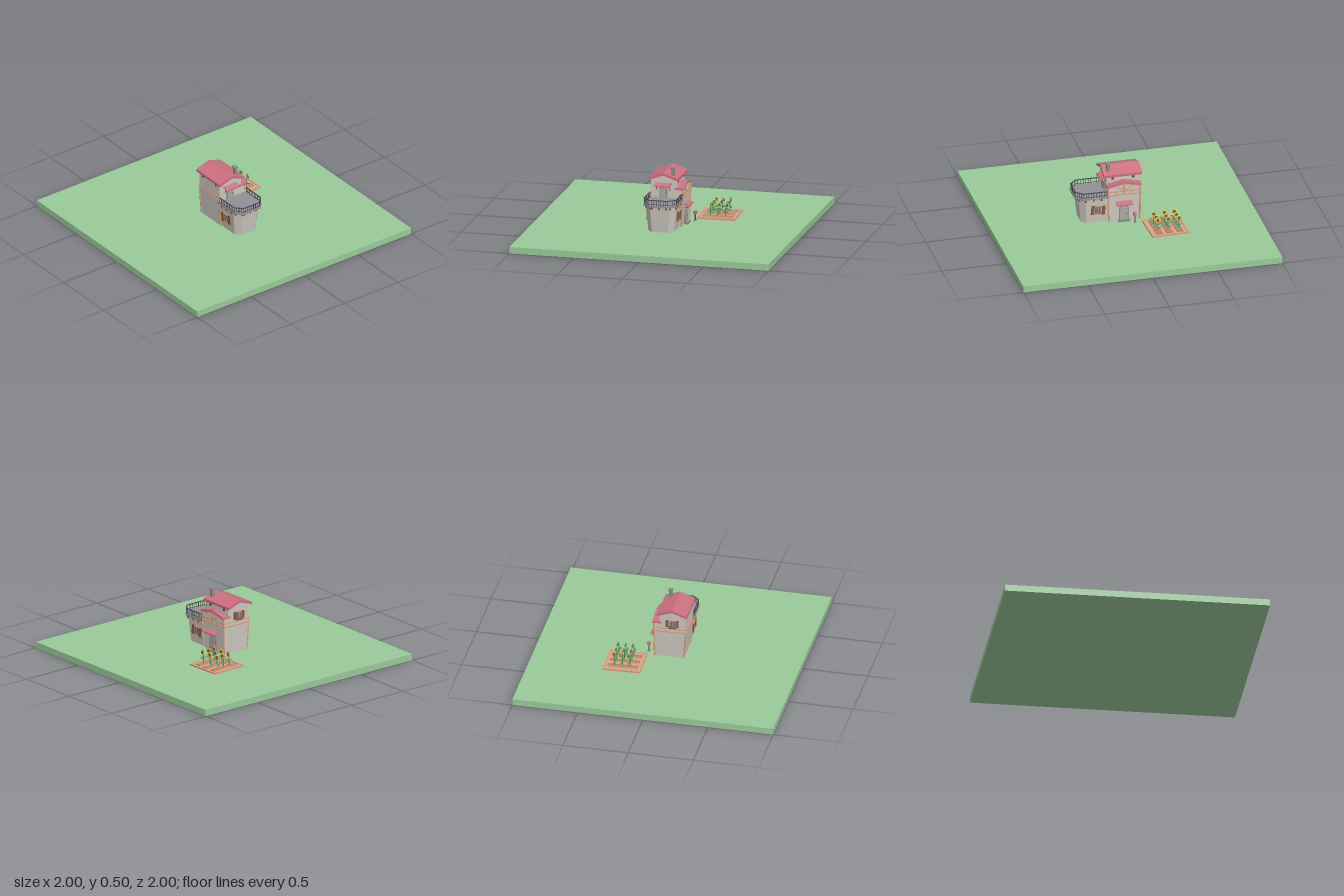
import * as THREE from 'three';
import { ConvexGeometry } from 'three/addons/geometries/ConvexGeometry.js';

const mat = (color) => new THREE.MeshStandardMaterial({ color, flatShading: true, side: THREE.DoubleSide });
const M = {
  grass: mat(0x9aca9a), wall: mat(0xcbc7bf), roof: mat(0xcc7080), deck: mat(0x929097), timber: mat(0xd7a07c),
  brown: mat(0x8b5a3e), stone: mat(0x8a8a88), iron: mat(0x4a4a48), glass: mat(0x77777c), door: mat(0xa9a6a2),
  soil: mat(0xdba78c), ridge: mat(0xb98468), leaf: mat(0x4d9b62), petal: mat(0xe3c150), seed: mat(0x6d5a30),
};
const V = (x, y, z) => new THREE.Vector3(x, y, z);

export function createModel() {
  const model = new THREE.Group();
  const add = (name, geo, m, parent = model) => {
    const mesh = new THREE.Mesh(geo, m);
    mesh.name = name;
    parent.add(mesh);
    return mesh;
  };
  const group = (name, x = 0, y = 0, z = 0, parent = model) => {
    const g = new THREE.Group();
    g.name = name;
    g.position.set(x, y, z);
    parent.add(g);
    return g;
  };
  const box = (name, w, h, d, x, y, z, m, parent) => {
    const mesh = add(name, new THREE.BoxGeometry(w, h, d), m, parent);
    mesh.position.set(x, y, z);
    return mesh;
  };
  // square bar running between two points
  const beam = (name, a, b, w, m, parent) => {
    const mesh = box(name, w, w, a.distanceTo(b), 0, 0, 0, m, parent);
    mesh.position.lerpVectors(a, b, 0.5);
    mesh.lookAt(b);
    return mesh;
  };
  const extrude = (pts, depth) => new THREE.ExtrudeGeometry(
    new THREE.Shape(pts.map(([x, y]) => new THREE.Vector2(x, y))), { depth, bevelEnabled: false },
  ).translate(0, 0, -depth / 2);
  const gableRoof = (half, eave, apex, t, len) => extrude(
    [[-half, eave - t], [-half, eave], [0, apex], [half, eave], [half, eave - t], [0, apex - t]], len);
  const gableWall = (half, base, eave, apex, len) => extrude(
    [[-half, base], [half, base], [half, eave], [0, apex], [-half, eave]], len);

  box('ground', 2, 0.05, 2, 0, 0.025, 0, M.grass);

  // main house: slightly tapered ground floor, gabled upper floor
  const house = group('house');
  const floorPts = [];
  for (const [y, x0, x1, z0, z1] of [[0.05, -0.118, 0.102, -0.125, 0.115], [0.28, -0.132, 0.11, -0.132, 0.12]])
    for (const x of [x0, x1]) for (const z of [z0, z1]) floorPts.push(V(x, y, z));
  add('groundFloor', new ConvexGeometry(floorPts), M.wall, house);
  add('upperFloor', gableWall(0.1, 0.28, 0.412, 0.445, 0.252), M.wall, house).position.set(-0.032, 0, -0.006);
  add('mainRoof', gableRoof(0.113, 0.424, 0.463, 0.02, 0.294), M.roof, house).position.set(-0.032, 0, -0.004);

  // side wing with a cross gable
  const wing = add('wingWall', gableWall(0.122, 0.28, 0.335, 0.362, 0.07), M.wall, house);
  wing.rotation.y = Math.PI / 2;
  wing.position.set(0.075, 0, -0.005);
  const wingRoof = add('wingRoof', gableRoof(0.133, 0.348, 0.376, 0.014, 0.07), M.roof, house);
  wingRoof.rotation.y = Math.PI / 2;
  wingRoof.position.set(0.086, 0, -0.004);

  // timber frame
  const timber = group('timberFrame');
  for (const y of [0.268, 0.297]) {
    beam('sideBeam', V(0.111, y, 0.122), V(0.111, y, -0.134), 0.009, M.timber, timber);
    beam('backBeam', V(-0.134, y, -0.133), V(0.113, y, -0.133), 0.008, M.timber, timber);
    beam('farSideBeam', V(-0.132, y, -0.134), V(-0.132, y, 0.122), 0.008, M.timber, timber);
  }
  for (const z of [-0.129, 0.118]) {
    beam('cornerPost', V(0.103, 0.05, z * 0.97), V(0.111, 0.27, z), 0.01, M.timber, timber);
    beam('upperPost', V(0.111, 0.27, z), V(0.111, 0.338, z), 0.01, M.timber, timber);
    beam('farCornerPost', V(-0.118, 0.05, z * 0.97), V(-0.132, 0.27, z), 0.008, M.timber, timber);
    beam('rafterBeam', V(0.112, 0.332, z), V(0.112, 0.358, -0.005), 0.008, M.timber, timber);
    beam('brace', V(0.111, 0.3, -0.005), V(0.111, 0.34, z * 0.55 - 0.003), 0.007, M.timber, timber);
    beam('stud', V(0.111, 0.27, z * 0.5), V(0.111, 0.3, z * 0.5), 0.007, M.timber, timber);
  }
  beam('kingPost', V(0.111, 0.268, -0.005), V(0.111, 0.358, -0.005), 0.008, M.timber, timber);

  // chimney
  const chimney = group('chimney', 0.032, 0, 0.1);
  box('chimneyStack', 0.024, 0.1, 0.024, 0, 0.444, 0, M.stone, chimney);
  box('chimneyCap', 0.032, 0.01, 0.032, 0, 0.497, 0, M.stone, chimney);

  // front tower with chamfered corners and a terrace
  const outline = (x0, x1, zf, c) => [[x0, 0.11], [x0, zf - c], [x0 + c, zf], [x1 - c, zf], [x1, zf - c], [x1, 0.11]];
  const slab = (name, pts, y, h, m, parent) => {
    const geo = new ConvexGeometry(pts.flatMap(([x, z]) => [V(x, y, z), V(x, y + h, z)]));
    return add(name, geo, m, parent);
  };
  const tower = group('tower');
  const low = outline(-0.11, 0.086, 0.315, 0.035).map(([x, z]) => V(x, 0.05, z));
  const high = outline(-0.131, 0.106, 0.338, 0.045).map(([x, z]) => V(x, 0.255, z));
  add('towerBody', new ConvexGeometry([...low, ...high]), M.wall, tower);
  const edge = outline(-0.141, 0.116, 0.366, 0.052);
  slab('terraceDeck', edge, 0.252, 0.014, M.deck, tower);

  // railing and brackets follow the deck edge
  const railing = group('railing');
  const inset = outline(-0.136, 0.111, 0.36, 0.05);
  inset[0][1] = inset[5][1] = 0.13;
  for (let i = 0; i < 5; i++) {
    const a = V(inset[i][0], 0, inset[i][1]), b = V(inset[i + 1][0], 0, inset[i + 1][1]);
    const n = Math.round(a.distanceTo(b) / 0.019);
    for (const y of [0.274, 0.306])
      beam('rail', a.clone().setY(y), b.clone().setY(y), y > 0.3 ? 0.006 : 0.003, M.iron, railing);
    for (let k = 0; k <= n; k++) {
      const p = a.clone().lerp(b, k / n);
      box('baluster', 0.003, 0.042, 0.003, p.x, 0.286, p.z, M.iron, railing);
      if (k % 3 === 1) box('bracket', 0.012, 0.022, 0.012, p.x * 0.96, 0.243, p.z - (i > 0 && i < 4 ? 0.017 : 0), M.brown, tower);
    }
  }

  // shuttered window, facing +z in its own frame
  const shutterWindow = (name, x, y, z, ry, w, h) => {
    const g = group(name, x, y, z);
    g.rotation.y = ry;
    box('pane', w, h, 0.006, 0, 0, 0, M.glass, g);
    for (const s of [-1, 1]) {
      box('shutter', w * 0.55, h * 1.1, 0.007, s * w * 0.95, 0, 0.004, M.brown, g);
      box('windowSill', w * 1.15, 0.006, 0.012, 0, s * h * 0.54, 0.003, M.timber, g);
    }
    box('mullion', 0.004, h, 0.009, 0, 0, 0, M.timber, g);
    return g;
  };
  for (const s of [-1, 1])
    shutterWindow('towerWindow', s > 0 ? 0.1 : -0.124, 0.155, 0.195, s * Math.PI / 2, 0.044, 0.065).rotation.z = s * -0.1;
  shutterWindow('backWindow', -0.032, 0.342, -0.135, Math.PI, 0.04, 0.052);
  box('windowBox', 0.06, 0.012, 0.018, -0.032, 0.312, -0.142, M.brown);
  for (const z of [-0.083, 0.075]) for (const x of [0.069, -0.133])
    box('smallWindow', 0.006, 0.022, 0.018, x, 0.392, z, M.iron);

  // arched door with sloping awning, facing +z in its own frame
  const archedDoor = (name, x, y, z, ry, w, h) => {
    const g = group(name, x, y, z);
    g.rotation.y = ry;
    const arch = (r, top) => {
      const s = new THREE.Shape();
      s.moveTo(-r, 0).lineTo(r, 0).lineTo(r, top);
      s.absarc(0, top, r, 0, Math.PI);
      return s;
    };
    const side = h - w / 2;
    for (const [part, r, d, m] of [['doorFrame', w / 2 + 0.006, 0.008, M.stone], ['doorLeaf', w / 2, 0.011, M.door]])
      add(part, new THREE.ExtrudeGeometry(arch(r, side), { depth: d, bevelEnabled: false, curveSegments: 8 }), m, g);
    const knob = add('doorKnob', new THREE.SphereGeometry(0.004, 8, 6), M.iron, g);
    knob.position.set(w * 0.33, h * 0.45, 0.013);
    return g;
  };
  const awning = (parent, w, y, out, drop) => {
    const a = add('awning', extrude([[0, y - 0.012], [0, y], [out, y - drop], [out, y - drop - 0.01]], w), M.roof, parent);
    a.rotation.y = -Math.PI / 2;
    for (const s of [-1, 1])
      beam('awningStrut', V(s * w * 0.42, y - 0.045, 0), V(s * w * 0.42, y - drop - 0.009, out * 0.8), 0.005, M.brown, parent);
  };
  const sideDoor = archedDoor('sideDoor', 0.102, 0.05, -0.003, Math.PI / 2, 0.064, 0.125);
  awning(sideDoor, 0.122, 0.166, 0.048, 0.016);
  box('doorStep', 0.09, 0.012, 0.04, 0, 0.006, 0.012, M.stone, sideDoor);
  const terraceDoor = archedDoor('terraceDoor', -0.035, 0.266, 0.116, 0, 0.05, 0.085);
  awning(terraceDoor, 0.12, 0.118, 0.044, 0.018);

  // mailbox on a post
  const mailbox = group('mailbox', 0.16, 0.05, -0.075);
  box('mailPost', 0.007, 0.06, 0.007, 0, 0.03, 0, M.iron, mailbox);
  box('mailFoot', 0.02, 0.006, 0.02, 0, 0.003, 0, M.stone, mailbox);
  box('mailCase', 0.028, 0.022, 0.02, 0, 0.066, 0, M.roof, mailbox);

  // garden bed with furrows
  const garden = group('garden', 0.299, 0.05, -0.278);
  garden.rotation.y = 0.03;
  box('soil', 0.28, 0.008, 0.28, 0, 0.004, 0, M.soil, garden);
  for (const s of [-1, 1]) {
    box('bedEdgeAcross', 0.29, 0.013, 0.014, 0, 0.0065, s * 0.138, M.timber, garden);
    box('bedEdgeAlong', 0.014, 0.013, 0.29, s * 0.138, 0.0065, 0, M.timber, garden);
  }

  // sunflowers, heads turned to +x
  const sunflower = (x, z, turn) => {
    const g = group('sunflower', x, 0.012, z, garden);
    g.rotation.y = turn;
    add('stem', new THREE.CylinderGeometry(0.0025, 0.004, 0.085, 6).translate(0, 0.0425, 0), M.leaf, g);
    for (const [s, y] of [[-1, 0.03], [1, 0.036], [-1, 0.052], [1, 0.046]]) {
      const leaf = add('leaf', new THREE.SphereGeometry(1, 6, 4).scale(0.009, 0.0025, 0.017), M.leaf, g);
      leaf.position.set(y > 0.04 ? -0.006 : 0.006, y, s * 0.017);
      leaf.rotation.x = s * -0.35;
    }
    const head = group('flowerHead', 0.004, 0.088, 0, g);
    head.rotation.z = -Math.PI / 2 + 0.2;
    add('calyx', new THREE.CylinderGeometry(0.018, 0.006, 0.008, 8), M.leaf, head);
    add('seedDisc', new THREE.CylinderGeometry(0.012, 0.014, 0.008, 10).translate(0, 0.006, 0), M.seed, head);
    for (let i = 0; i < 12; i++) {
      const petal = add('petal', new THREE.ConeGeometry(0.0065, 0.016, 4).scale(1, 1, 0.35), M.petal, head);
      const a = (i / 12) * Math.PI * 2;
      petal.position.set(Math.sin(a) * 0.018, 0.005, Math.cos(a) * 0.018);
      petal.rotation.set(Math.PI / 2, a, 0, 'YXZ');
    }
  };
  for (const [r, z] of [-0.08, 0, 0.08].entries()) {
    const furrow = add('furrow', new THREE.CylinderGeometry(0.028, 0.028, 0.23, 8).rotateZ(Math.PI / 2).scale(1, 0.3, 1), M.ridge, garden);
    furrow.position.set(0, 0.008, z);
    for (const [c, x] of [-0.054, 0.002, 0.06].entries()) sunflower(x, z, ((r * 3 + c * 2) % 5 - 2) * 0.1);
  }
  return model;
}
